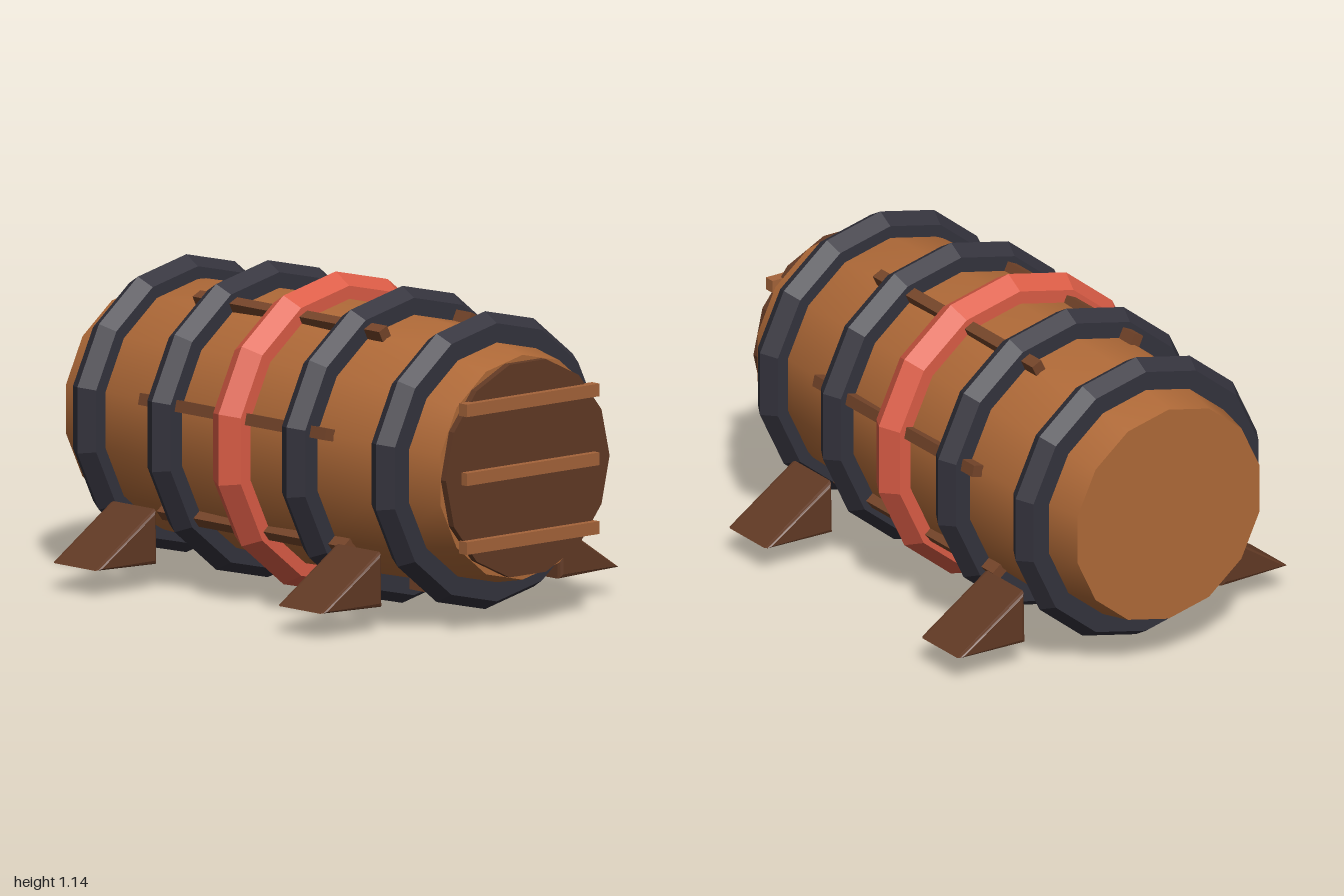
import * as THREE from 'three';

const SIDES = 14;
const AXIS_Y = 0.575; // height of the barrel's axis, which runs along x
const MID_X = -0.027;

const material = (color, flatShading = false) => new THREE.MeshStandardMaterial({ color, flatShading });
const wood = material(0xb06a38);
const darkWood = material(0x623a25, true);
const battenWood = material(0x75452a, true);
const plankWood = material(0xa5643a, true);
const iron = material(0x34333d, true);
const red = material(0xdc5d46, true);

export function createModel() {
  const model = new THREE.Group();
  model.name = 'barrel';
  const add = (name, geometry, mat, x = 0, y = AXIS_Y, z = 0) => {
    const mesh = new THREE.Mesh(geometry, mat);
    mesh.name = name;
    mesh.position.set(x, y, z);
    model.add(mesh);
    return mesh;
  };

  // Bulging body, turned around the x axis
  const profile = [[0.4, -1], [0.458, -0.7], [0.472, -0.36], [0.484, MID_X], [0.472, 0.31], [0.458, 0.65], [0.4, 0.945]];
  const body = new THREE.LatheGeometry(profile.map(([r, x]) => new THREE.Vector2(r, x)), SIDES, Math.PI / 2);
  add('body', body.rotateZ(-Math.PI / 2), wood);

  // Flat ends of the body
  for (const [name, x, turn] of [['backEnd', -1, -1], ['lidEnd', 0.945, 1]]) {
    const end = new THREE.CircleGeometry(0.4, SIDES, Math.PI / 2);
    add(name, end.rotateY(turn * Math.PI / 2), wood, x);
  }

  // Lid with three planks across it
  add('lid', new THREE.CylinderGeometry(0.388, 0.388, 0.05, SIDES).rotateZ(-Math.PI / 2), darkWood, 0.947);
  for (const dy of [-0.245, 0, 0.245]) {
    add('lidPlank', new THREE.BoxGeometry(0.04, 0.045, 0.63), plankWood, 0.98, AXIS_Y + dy);
  }

  // Hoops: x, ring radius, tube radius
  const hoops = [[-0.803, 0.46, 0.07], [-0.38, 0.494, 0.07], [MID_X, 0.487, 0.083], [0.32, 0.494, 0.07], [0.75, 0.46, 0.07]];
  hoops.forEach(([x, ring, tube], i) => {
    const hoop = new THREE.TorusGeometry(ring, tube, 6, SIDES).rotateZ(Math.PI / 2).rotateY(Math.PI / 2);
    add(i === 2 ? 'middleHoop' : 'hoop', hoop, i === 2 ? red : iron, x);
  });

  // Seven battens running lengthwise under the hoops
  for (let i = 0; i < 7; i++) {
    const a = -Math.PI / 2 + (i * Math.PI * 2) / 7;
    const batten = add('batten', new THREE.BoxGeometry(0.97, 0.042, 0.042), battenWood,
      -0.025, AXIS_Y + 0.484 * Math.sin(a), 0.484 * Math.cos(a));
    batten.rotation.x = -a;
  }

  // Four wedge feet with softened edges
  const bevel = 0.015;
  const wedge = new THREE.Shape([[0.435, 0.107], [0.685, 0.107], [0.435, 0.27]].map(([z, y]) => new THREE.Vector2(z, y)));
  const depth = 0.24 - 2 * bevel;
  for (const x of [-0.61, 0.56]) {
    for (const side of [1, -1]) {
      const foot = new THREE.ExtrudeGeometry(wedge, {
        depth, bevelEnabled: true, bevelSize: bevel, bevelThickness: bevel, bevelSegments: 2,
      });
      foot.translate(0, 0, -depth / 2).rotateY(-side * Math.PI / 2);
      add('foot', foot, darkWood, x, 0);
    }
  }
  return model;
}
